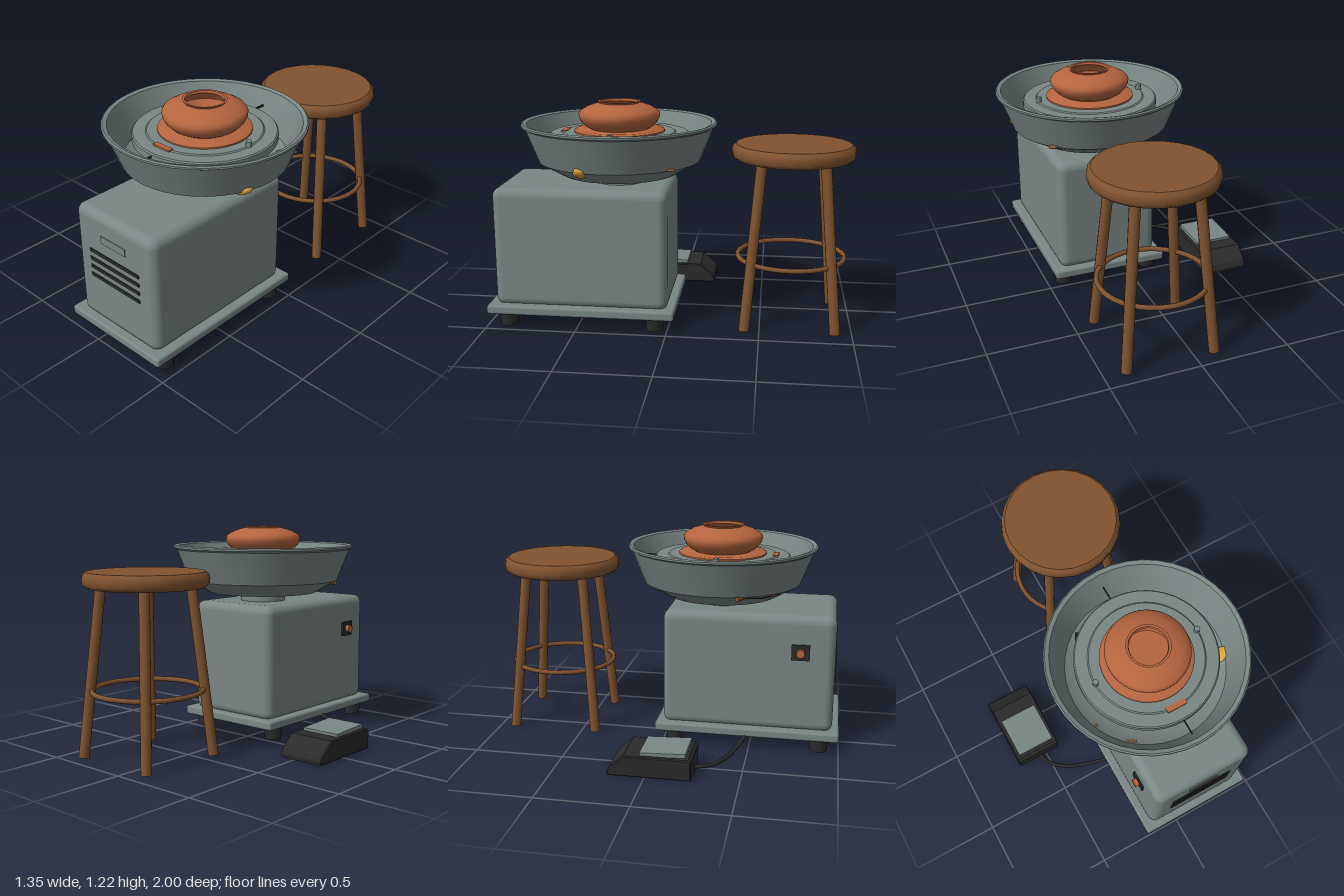
import * as THREE from 'three';
import { RoundedBoxGeometry } from 'three/addons/geometries/RoundedBoxGeometry.js';
import { toCreasedNormals } from 'three/addons/utils/BufferGeometryUtils.js';

const mat = (name, color, side = THREE.FrontSide) => {
  const m = new THREE.MeshStandardMaterial({ color, side });
  m.name = name;
  return m;
};

export function createModel() {
  const root = new THREE.Group();
  root.name = 'potteryWheelAndStool';
  const metal = mat('grey metal', 0x7a8785);
  const rubber = mat('black rubber', 0x2b2b2b);
  const clay = mat('terracotta clay', 0xb5653f);
  const wood = mat('brown wood', 0x80532f);
  const foam = mat('yellow sponge', 0xdca43c);

  const add = (name, geo, material, x = 0, y = 0, z = 0, parent = root) => {
    const m = new THREE.Mesh(geo, material);
    m.name = name;
    m.position.set(x, y, z);
    parent.add(m);
    return m;
  };
  const box = (w, h, d) => new THREE.BoxGeometry(w, h, d);
  const lathe = (pts, seg = 40, crease = 0.6) => toCreasedNormals(
    new THREE.LatheGeometry(pts.map(p => new THREE.Vector2(...p)), seg), crease);
  // cylinder running between two points
  const rod = (name, a, b, r, material, parent = root, seg = 12) => {
    const A = new THREE.Vector3(...a), B = new THREE.Vector3(...b);
    const d = B.clone().sub(A);
    const m = add(name, new THREE.CylinderGeometry(r, r, d.length(), seg), material, 0, 0, 0, parent);
    m.position.copy(A).add(B).multiplyScalar(0.5);
    m.quaternion.setFromUnitVectors(new THREE.Vector3(0, 1, 0), d.normalize());
    return m;
  };

  const CX = 0.133, CZ = 0.297;

  // cabinet, base plate and feet
  add('cabinet', new RoundedBoxGeometry(0.586, 0.67, 0.96, 4, 0.05), metal, CX, 0.44, 0.48);
  add('basePlate', new RoundedBoxGeometry(0.674, 0.052, 1.04, 2, 0.014), metal, CX, 0.096, 0.48);
  for (const sx of [-1, 1]) for (const sz of [-1, 1])
    add('foot', new THREE.CylinderGeometry(0.052, 0.048, 0.075, 16), rubber, CX + sx * 0.268, 0.0375, 0.48 + sz * 0.41);

  // front vents and blank plate
  for (let i = 0; i < 4; i++)
    add('ventSlot', box(0.367, 0.019, 0.009), rubber, CX, 0.538 - i * 0.05, 0.961);
  add('blankPlate', box(0.18, 0.042, 0.008), metal, CX, 0.636, 0.9605);

  // side switch
  add('switchPlate', box(0.014, 0.088, 0.1), rubber, -0.163, 0.573, 0.77);
  const knob = add('switchKnob', new THREE.CylinderGeometry(0.023, 0.023, 0.035, 16), clay, -0.176, 0.573, 0.77);
  knob.rotation.z = Math.PI / 2;

  // splash pan, drive shaft and turning head
  add('driveHub', new THREE.CylinderGeometry(0.135, 0.135, 0.08, 32), metal, CX, 0.8, CZ);
  add('splashPan', lathe([
    [0, 0.825], [0.32, 0.825], [0.45, 0.9], [0.522, 1.085], [0.54, 1.095], [0.54, 1.105], [0.532, 1.112],
    [0.51, 1.105], [0.475, 1.02], [0.435, 0.91], [0.38, 0.872], [0.31, 0.85], [0, 0.85]]), metal, CX, 0, CZ);
  add('shaft', new THREE.CylinderGeometry(0.1, 0.1, 0.16, 24), metal, CX, 0.925, CZ);
  add('wheelHead', lathe([
    [0, 1.0], [0.378, 1.0], [0.385, 1.007], [0.385, 1.043], [0.378, 1.05], [0.312, 1.05],
    [0.305, 1.056], [0, 1.056]], 48), metal, CX, 0, CZ);
  for (const s of [-1, 1]) {
    add('batPin', new THREE.CylinderGeometry(0.016, 0.016, 0.04, 12), metal, CX + s * 0.305, 1.062, CZ);
    add('panSeam', box(0.006, 0.012, 0.08), rubber, CX, 1.03, CZ + s * 0.425);
  }

  // clay pot on its wet ring
  add('claySlipRing', lathe([[0, 1.05], [0.25, 1.05], [0.25, 1.064], [0.235, 1.072], [0, 1.072]]), clay, CX, 0, CZ);
  add('clayPot', lathe([
    [0.15, 1.065], [0.185, 1.085], [0.21, 1.11], [0.223, 1.135], [0.225, 1.155], [0.213, 1.172],
    [0.175, 1.193], [0.135, 1.206], [0.111, 1.212], [0.117, 1.222], [0.104, 1.221],
    [0.1, 1.208], [0.14, 1.185], [0.16, 1.15], [0.13, 1.1], [0, 1.095]], 40, 0.9), clay, CX, 0, CZ);
  add('claySmear', box(0.115, 0.009, 0.03), clay, CX, 1.055, 0.6);

  // sponge in the pan
  const sponge = new THREE.SphereGeometry(1, 10, 8);
  const p = sponge.attributes.position;
  for (let i = 0; i < p.count; i++) {
    const x = p.getX(i), y = p.getY(i), z = p.getZ(i);
    const k = 1 + 0.1 * Math.sin(5 * x + 3 * y) * Math.cos(4 * z);
    p.setXYZ(i, x * k * 0.055, y * k * 0.026, z * k * 0.042);
  }
  sponge.computeVertexNormals();
  add('sponge', sponge, foam, 0.53, 0.897, 0.435).rotation.z = 0.4;

  // wire cutter with two toggles, and a wooden shaping tool
  rod('cutterToggle', [-0.31, 0.893, 0.43], [-0.25, 0.893, 0.46], 0.012, wood);
  rod('cutterToggle', [-0.175, 0.893, 0.6], [-0.115, 0.893, 0.635], 0.012, wood);
  const wire = new THREE.CatmullRomCurve3([[-0.27, 0.89, 0.47], [-0.225, 0.885, 0.555], [-0.15, 0.89, 0.625]]
    .map(v => new THREE.Vector3(...v)));
  add('cutterWire', new THREE.TubeGeometry(wire, 12, 0.003, 6), rubber);
  const rib = add('shapingTool', new THREE.SphereGeometry(1, 16, 8), wood, CX + 0.305, 0.905, CZ - 0.305);
  rib.scale.set(0.03, 0.008, 0.06);
  rib.rotation.y = -Math.PI / 4;
  rod('needleTool', [-0.125, 0.93, -0.005], [-0.115, 1.0, -0.015], 0.008, rubber);

  // foot pedal
  const pedal = new THREE.Group();
  pedal.name = 'footPedal';
  root.add(pedal);
  const side = new THREE.Shape([[0.242, 0.006], [0.242, 0.1], [0.23, 0.11], [-0.11, 0.11], [-0.185, 0.045],
    [-0.197, 0.02], [-0.195, 0.006]].map(([z, y]) => new THREE.Vector2(-z, y)));
  const wedge = new THREE.ExtrudeGeometry(side, {
    depth: 0.258, bevelThickness: 0.006, bevelSize: 0.006, bevelSegments: 1 });
  wedge.rotateY(Math.PI / 2);
  add('pedalBody', wedge, rubber, -0.674, 0, 0, pedal);
  add('pedalPad', box(0.226, 0.022, 0.245), metal, -0.545, 0.126, 0.094, pedal).rotation.x = -0.04;

  // pedal cable
  const cable = new THREE.CatmullRomCurve3([[-0.55, 0.025, 0.23], [-0.5, 0.022, 0.33], [-0.4, 0.032, 0.405],
    [-0.22, 0.065, 0.47], [-0.14, 0.085, 0.49]].map(v => new THREE.Vector3(...v)));
  add('pedalCable', new THREE.TubeGeometry(cable, 32, 0.011, 8), rubber);

  // stool
  const stool = new THREE.Group();
  stool.name = 'stool';
  stool.position.set(CX, 0, -0.663);
  root.add(stool);
  add('stoolSeat', lathe([[0, 0.92], [0.315, 0.92], [0.333, 0.935], [0.338, 0.962], [0.333, 0.988],
    [0.315, 1.004], [0, 1.004]], 24, 0.7), wood, 0, 0, 0, stool);
  for (const sx of [-1, 1]) for (const sz of [-1, 1])
    rod('stoolLeg', [sx * 0.246, 0.004, sz * 0.246], [sx * 0.168, 0.93, sz * 0.168], 0.029, wood, stool);
  add('stoolRing', new THREE.TorusGeometry(0.296, 0.014, 8, 40), wood, 0, 0.37, 0, stool).rotation.x = Math.PI / 2;

  return root;
}
